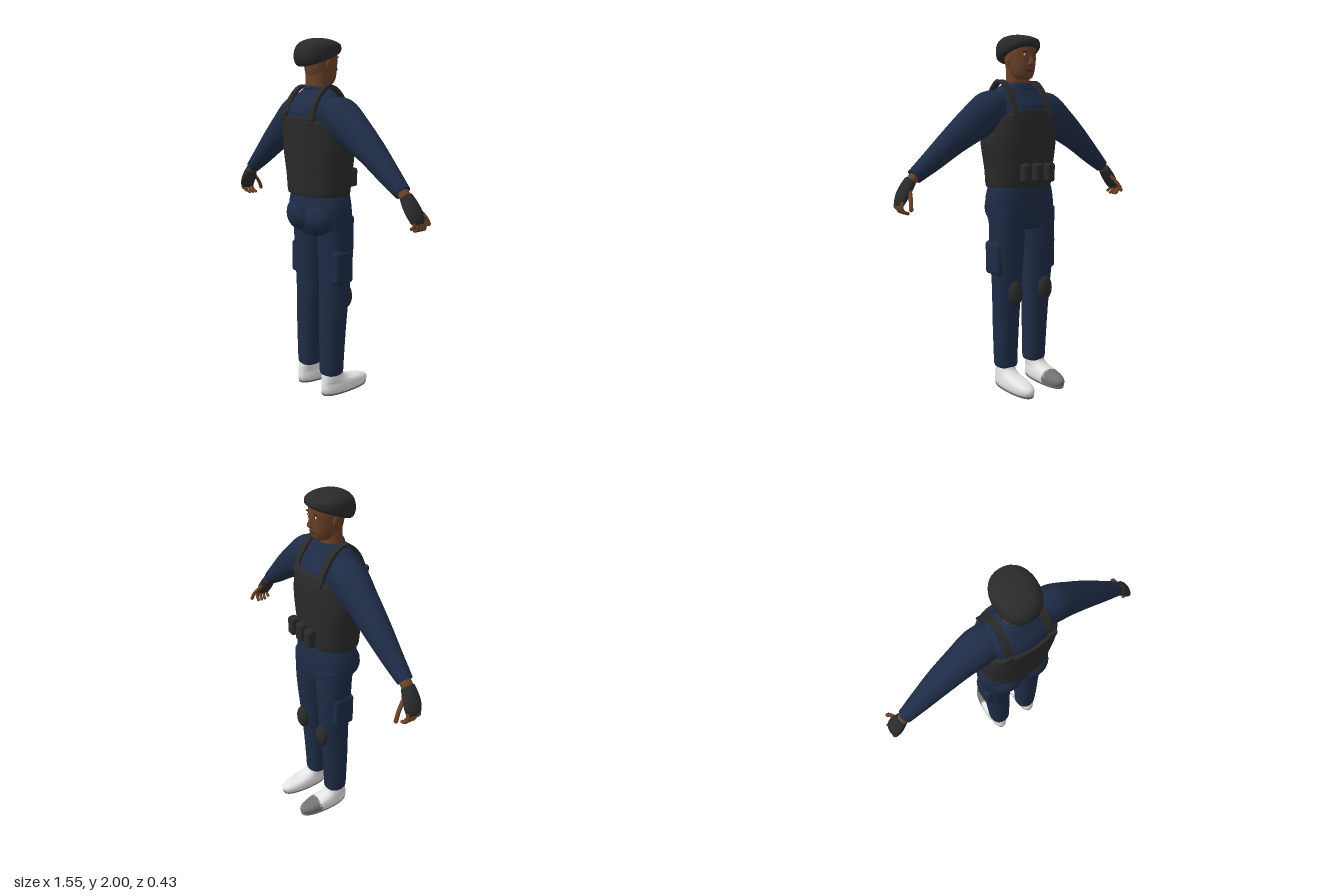
import * as THREE from 'three';
import { mergeVertices } from 'three/addons/utils/BufferGeometryUtils.js';
import { RoundedBoxGeometry } from 'three/addons/geometries/RoundedBoxGeometry.js';

const mat = (name, color) => {
  const m = new THREE.MeshStandardMaterial({ color });
  m.name = name;
  return m;
};

// Smooth loft through rows [x, y, z, ru, rv, tilt in degrees]; rings span the tilted x direction and z.
function loft(rows, { power = 2, sides = 32, steps = 4, warp = null } = {}) {
  const pos = [], idx = [], rings = [];
  const at = (i) => rows[Math.min(Math.max(i, 0), rows.length - 1)];
  for (let i = 0; i < rows.length - 1; i++) {
    for (let s = 0; s < steps; s++) {
      const t = s / steps;
      rings.push([0, 1, 2, 3, 4, 5].map((k) => {
        const [a, b, c, d] = [-1, 0, 1, 2].map((o) => at(i + o)[k]);
        return b + 0.5 * t * (c - a + t * (2 * a - 5 * b + 4 * c - d + t * (3 * (b - c) + d - a)));
      }));
    }
  }
  rings.push(at(rows.length));
  const bend = (v) => Math.sign(v) * Math.abs(v) ** (2 / power);
  const add = (x, y, z) => pos.push(x, warp ? warp(x, y, z) : y, z);
  const ring = ([x, y, z, ru, rv, deg]) => {
    const a = THREE.MathUtils.degToRad(deg);
    for (let j = 0; j < sides; j++) {
      const t = (j / sides) * Math.PI * 2, u = bend(Math.cos(t)) * ru;
      add(x + u * Math.cos(a), y + u * Math.sin(a), z + bend(Math.sin(t)) * rv);
    }
  };
  rings.forEach(ring);
  for (let i = 0; i < rings.length - 1; i++) {
    for (let j = 0; j < sides; j++) {
      const a = i * sides + j, b = i * sides + (j + 1) % sides;
      idx.push(a, a + sides, b, b, a + sides, b + sides);
    }
  }
  // end caps with their own vertices
  [rings[0], rings[rings.length - 1]].forEach((r, end) => {
    const base = pos.length / 3;
    ring(r);
    add(r[0], r[1], r[2]);
    for (let j = 0; j < sides; j++) {
      const a = base + j, b = base + (j + 1) % sides;
      idx.push(base + sides, ...(end ? [b, a] : [a, b]));
    }
  });
  const g = new THREE.BufferGeometry();
  g.setAttribute('position', new THREE.Float32BufferAttribute(pos, 3));
  g.setIndex(idx);
  g.computeVertexNormals();
  return g;
}

// Row for an upright ring given its front and back z
const row = (y, rx, back, front, x = 0) => [x, y, (back + front) / 2, rx, (back - front) / 2, 0];

const ball = (x, y, z, rx, ry, rz) =>
  new THREE.SphereGeometry(1, 24, 16).scale(rx, ry, rz).translate(x, y, z);

const box = (x, y, z, w, h, d, r) =>
  mergeVertices(new RoundedBoxGeometry(w, h, d, 3, r).translate(x, y, z));

const tube = (pts, r) => new THREE.TubeGeometry(
  new THREE.CatmullRomCurve3(pts.map((p) => new THREE.Vector3(...p))), 14, r, 8);

function mirrored(geo) {
  const g = geo.clone().scale(-1, 1, 1), a = g.index.array;
  for (let i = 0; i < a.length; i += 3) [a[i], a[i + 1]] = [a[i + 1], a[i]];
  return g;
}

// Splits a geometry into two material groups at a z limit
function splitAtZ(g, limit) {
  const a = g.index.array, p = g.attributes.position, parts = [[], []];
  for (let i = 0; i < a.length; i += 3) {
    const z = (p.getZ(a[i]) + p.getZ(a[i + 1]) + p.getZ(a[i + 2])) / 3;
    parts[z < limit ? 1 : 0].push(a[i], a[i + 1], a[i + 2]);
  }
  g.setIndex([...parts[0], ...parts[1]]);
  g.addGroup(0, parts[0].length, 0);
  g.addGroup(parts[0].length, parts[1].length, 1);
  return g;
}

export function createModel() {
  const model = new THREE.Group();
  const navy = mat('navy cloth', 0x1e2c46), black = mat('black gear', 0x2a2a2a);
  const skin = mat('skin', 0x6a4127), white = mat('white shoe', 0xe4e4e4);
  const grey = mat('grey toe', 0x727672), lip = mat('lips', 0x4f2a1e);

  const part = (name, geo, m) => {
    const mesh = new THREE.Mesh(geo, m);
    mesh.name = name;
    model.add(mesh);
  };
  const pair = (name, geo, m) => {
    part(name + 'Left', geo, m);
    part(name + 'Right', mirrored(geo), m);
  };

  // Head and face, looking toward -z
  part('neck', loft([row(1.66, 0.075, 0.12, -0.01), row(1.73, 0.07, 0.116, 0), row(1.84, 0.068, 0.116, 0)]), skin);
  part('head', loft([
    row(1.755, 0.03, 0.06, -0.03), row(1.768, 0.052, 0.09, -0.044), row(1.8, 0.067, 0.115, -0.054),
    row(1.85, 0.076, 0.126, -0.058), row(1.9, 0.08, 0.13, -0.06), row(1.95, 0.075, 0.125, -0.055),
  ], { power: 2.2 }), skin);
  part('nose', loft([
    row(1.822, 0.01, -0.04, -0.06), row(1.832, 0.019, -0.04, -0.076), row(1.845, 0.014, -0.04, -0.079),
    row(1.875, 0.009, -0.04, -0.066), row(1.905, 0.008, -0.04, -0.058),
  ], { sides: 14 }), skin);
  part('lips', ball(0, 1.803, -0.051, 0.025, 0.008, 0.007), lip);
  pair('ear', ball(0.078, 1.86, 0.04, 0.009, 0.03, 0.018), skin);
  pair('eye', ball(0.031, 1.884, -0.052, 0.012, 0.006, 0.005), white);
  pair('pupil', ball(0.031, 1.884, -0.055, 0.005, 0.005, 0.004), black);
  pair('brow', ball(0.032, 1.902, -0.053, 0.018, 0.004, 0.007), black);

  // Cap with a rim that rises toward the face
  const rise = (x, y, z) => y + 0.09 * THREE.MathUtils.clamp((0.17 - z) / 0.245, 0, 1) * (2 - y) / 0.155;
  part('cap', loft([
    row(1.845, 0.1, 0.16, -0.068), row(1.865, 0.109, 0.178, -0.076), row(1.9, 0.111, 0.187, -0.076),
    row(1.94, 0.107, 0.18, -0.066), row(1.972, 0.088, 0.155, -0.035), row(1.992, 0.052, 0.11, 0.005),
    row(2, 0.004, 0.06, 0.05),
  ], { power: 2.2, warp: rise }), black);

  // Shirt, collar and sleeves
  part('shirt', loft([
    row(1.16, 0.18, 0.17, -0.075), row(1.45, 0.195, 0.19, -0.085), row(1.59, 0.195, 0.2, -0.083),
    row(1.65, 0.185, 0.182, -0.05), row(1.695, 0.145, 0.15, -0.024), row(1.725, 0.1, 0.13, -0.012),
    row(1.738, 0.078, 0.118, -0.004),
  ], { power: 2.2 }), navy);
  part('collar', new THREE.TorusGeometry(0.072, 0.013, 10, 32).rotateX(Math.PI / 2)
    .scale(1, 1, 0.92).rotateX(-0.25).translate(0, 1.722, 0.054), navy);
  pair('sleeve', loft([
    [0.1, 1.61, 0.055, 0.085, 0.085, -105], [0.2, 1.58, 0.052, 0.112, 0.095, -112],
    [0.31, 1.512, 0.05, 0.097, 0.083, -122], [0.435, 1.425, 0.05, 0.076, 0.072, -127],
    [0.56, 1.328, 0.053, 0.058, 0.056, -128], [0.665, 1.25, 0.057, 0.041, 0.041, -128],
  ], { sides: 24 }), navy);

  // Hands in fingerless gloves
  pair('wrist', loft([
    [0.65, 1.262, 0.057, 0.028, 0.032, -130], [0.69, 1.225, 0.056, 0.026, 0.032, -132],
    [0.705, 1.208, 0.055, 0.026, 0.034, -134],
  ], { sides: 18 }), skin);
  pair('glove', loft([
    [0.688, 1.23, 0.056, 0.03, 0.036, -133], [0.71, 1.2, 0.054, 0.032, 0.045, -136],
    [0.738, 1.16, 0.051, 0.029, 0.05, -142], [0.758, 1.122, 0.048, 0.02, 0.045, -152],
    [0.762, 1.108, 0.046, 0.012, 0.036, -160],
  ], { sides: 20 }), black);
  for (let i = 0; i < 4; i++) {
    const z = 0.08 - i * 0.023, reach = i === 0 ? 0.012 : 0;
    pair('finger' + (i + 1), tube([
      [0.757, 1.13, z], [0.766, 1.105, z - 0.004], [0.76, 1.084 + reach, z - 0.01], [0.738, 1.074 + reach, z - 0.014],
    ], 0.009), skin);
    pair('fingertip' + (i + 1), ball(0.738, 1.074 + reach, z - 0.014, 0.009, 0.009, 0.009), skin);
  }
  pair('thumb', tube([[0.708, 1.195, 0.03], [0.722, 1.16, -0.006], [0.736, 1.125, -0.034], [0.742, 1.098, -0.046]], 0.011), skin);
  pair('thumbTip', ball(0.742, 1.098, -0.046, 0.011, 0.012, 0.011), skin);

  // Armoured vest, its top edge dropping toward the arms
  const drop = (x, y) => y - 0.055 * THREE.MathUtils.smoothstep(Math.abs(x), 0.08, 0.22)
    * THREE.MathUtils.clamp((y - 1.4) / 0.19, 0, 1);
  part('vest', loft([
    row(1.165, 0.188, 0.18, -0.08), row(1.175, 0.197, 0.19, -0.09), row(1.27, 0.205, 0.196, -0.1),
    row(1.4, 0.225, 0.205, -0.106), row(1.5, 0.221, 0.211, -0.106), row(1.58, 0.215, 0.215, -0.1),
    row(1.592, 0.205, 0.205, -0.09),
  ], { power: 2.4, sides: 48, warp: drop }), black);
  for (const x of [-0.082, 0, 0.082]) part('pouch', box(x, 1.248, -0.122, 0.056, 0.106, 0.052, 0.016), black);

  // Shoulder straps: a flat band swept over the shoulder
  const top = new THREE.SplineCurve([
    [0.2, 1.55], [0.178, 1.64], [0.13, 1.715], [0.07, 1.752], [0.005, 1.722], [-0.055, 1.64], [-0.092, 1.55],
  ].map((p) => new THREE.Vector2(...p))).getPoints(30);
  const under = top.map((p) => new THREE.Vector2(p.x + (0.055 - p.x) * 0.1, p.y - 0.016)).reverse();
  const strap = new THREE.ExtrudeGeometry(new THREE.Shape([...top, ...under]), { depth: 0.038, bevelEnabled: false })
    .rotateY(-Math.PI / 2).translate(0.134, 0.004, 0);
  part('strapLeft', strap, black);
  part('strapRight', strap.clone().translate(-0.23, 0, 0), black);
  pair('backBuckle', box(0.125, 1.592, 0.193, 0.05, 0.045, 0.02, 0.008), black);

  // Trousers
  part('hips', loft([
    row(0.925, 0.17, 0.09, -0.05), row(0.94, 0.2, 0.118, -0.078), row(1, 0.208, 0.145, -0.086),
    row(1.08, 0.211, 0.168, -0.087), row(1.14, 0.2, 0.168, -0.086), row(1.2, 0.18, 0.16, -0.08),
  ], { power: 2.5 }), navy);
  pair('seat', ball(0.086, 1.045, 0.09, 0.105, 0.105, 0.095), navy);
  pair('trouserLeg', loft([
    row(0.12, 0.057, 0.1, -0.02, 0.103), row(0.135, 0.065, 0.106, -0.027, 0.104), row(0.2, 0.067, 0.108, -0.03, 0.105),
    row(0.4, 0.074, 0.11, -0.042, 0.106), row(0.6, 0.081, 0.108, -0.06, 0.107), row(0.8, 0.093, 0.112, -0.077, 0.11),
    row(0.92, 0.098, 0.118, -0.083, 0.108), row(1.04, 0.1, 0.12, -0.084, 0.106),
  ], { power: 2.2 }), navy);
  pair('cargoPocket', box(0.185, 0.77, 0.03, 0.052, 0.19, 0.13, 0.022), navy);
  pair('kneePad', ball(0.107, 0.57, -0.06, 0.046, 0.072, 0.032), black);

  // Shoes, one with a grey toe
  const shoe = loft([
    row(0.008, 0.052, 0.105, -0.205, 0.112), row(0.03, 0.057, 0.112, -0.217, 0.112), row(0.052, 0.056, 0.112, -0.208, 0.112),
    row(0.07, 0.052, 0.11, -0.165, 0.112), row(0.085, 0.049, 0.108, -0.085, 0.112), row(0.11, 0.047, 0.105, -0.035, 0.11),
    row(0.145, 0.046, 0.1, -0.02, 0.106),
  ], { power: 2.3, steps: 6 });
  part('shoeLeft', shoe, white);
  part('shoeRight', splitAtZ(mirrored(shoe), -0.1), [white, grey]);
  pair('sole', loft([row(0, 0.053, 0.108, -0.21, 0.112), row(0.012, 0.056, 0.11, -0.214, 0.112)], { power: 2.3, steps: 1 }), grey);

  return model;
}
